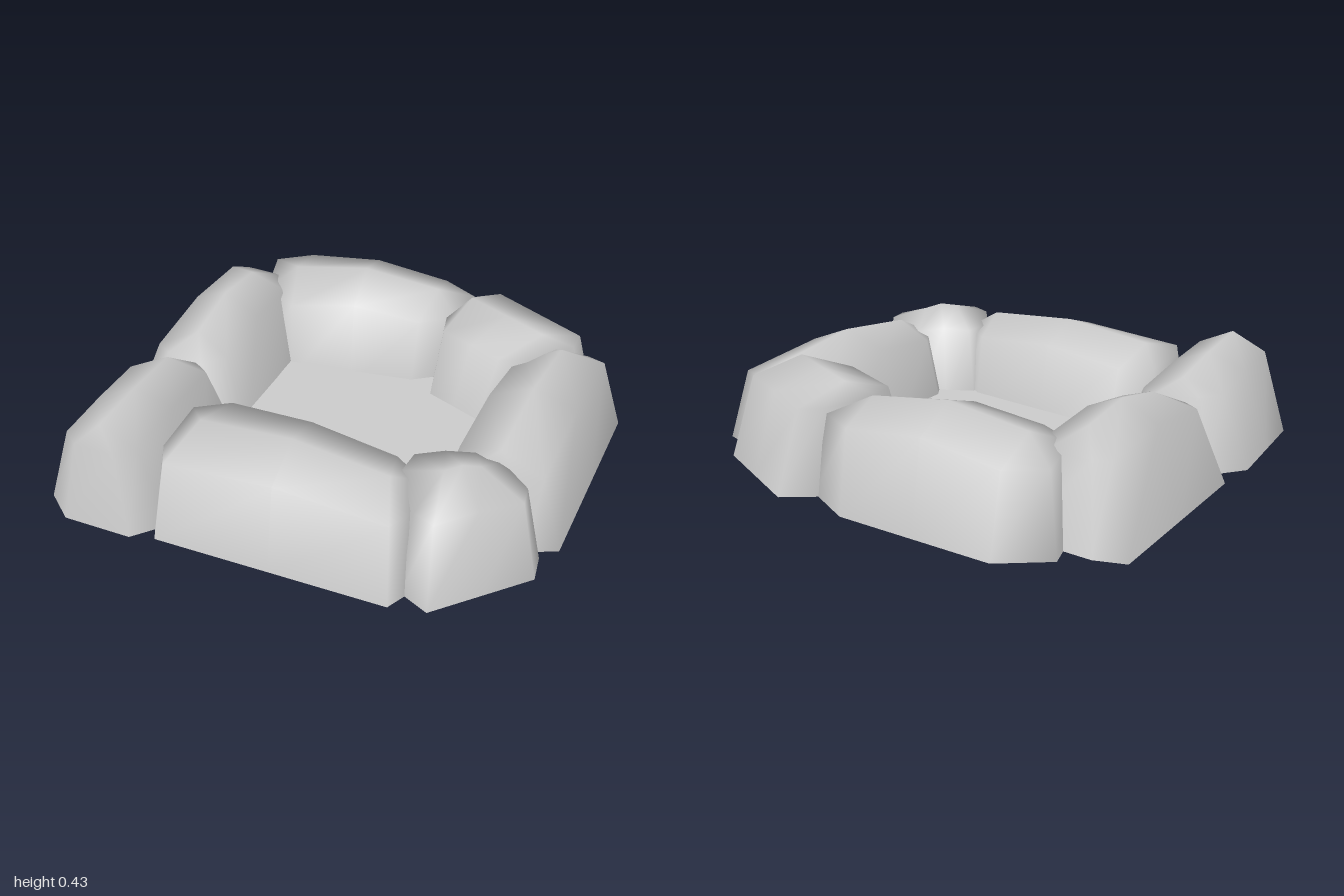
import * as THREE from 'three';
import { mergeVertices } from 'three/addons/utils/BufferGeometryUtils.js';

const END_CUT = 0.22;
const SHOULDER_HEIGHT = 0.83;

// Footprint corners run outer start, outer end, inner end, inner start as [x, z];
// cut is the corner cut on the outer and inner sides, lean is how far the shoulder
// draws in, inset shortens the ridge at each end and heights follow the ridge
const STONES = [
  { name: 'backStone', cut: [0.2, 0.2], lean: 0.25, inset: 0.17, heights: [0.385, 0.425, 0.37],
    corners: [[0.33, -0.88], [-0.78, -0.955], [-0.62, -0.3], [0.28, -0.39]] },
  { name: 'backLeftCornerStone', cut: [0.14, 0.2], lean: 0.33, inset: 0.14, heights: [0.4, 0.4, 0.4],
    corners: [[0.93, -0.59], [0.33, -0.92], [0.13, -0.33], [0.52, -0.15]] },
  { name: 'leftStone', cut: [0.05, 0.2], lean: 0.33, inset: 0.12, heights: [0.355, 0.4, 0.36],
    corners: [[0.96, 0.47], [1.002, -0.52], [0.5, -0.48], [0.43, 0.48]] },
  { name: 'frontLeftCornerStone', cut: [0.13, 0.2], lean: 0.27, inset: 0.36, heights: [0.39, 0.4, 0.38],
    corners: [[0.55, 0.96], [0.97, 0.55], [0.66, 0.26], [0.26, 0.44]] },
  { name: 'frontStone', cut: [0.06, 0.17], lean: 0.27, inset: 0.13, heights: [0.36, 0.4, 0.365],
    corners: [[-0.54, 0.893], [0.53, 0.932], [0.5, 0.42], [-0.56, 0.25]] },
  { name: 'frontRightCornerStone', cut: [0.14, 0.14], lean: 0.42, inset: 0.14, heights: [0.36, 0.39, 0.405],
    corners: [[-1.005, 0.2], [-0.965, 0.9], [-0.46, 0.925], [-0.47, 0.06]] },
  { name: 'rightStone', cut: [0.05, 0.2], lean: 0.42, inset: 0.24, heights: [0.38, 0.41, 0.36],
    corners: [[-0.96, -0.75], [-0.975, 0.17], [-0.45, 0.32], [-0.41, -0.7]] },
];

const mix = (p, q, t) => p.map((v, i) => v + (q[i] - v) * t);

// A rounded stone with an open underside: footprint, shoulder and ridge
function stoneGeometry({ corners: [a, b, c, d], cut: [outer, inner], lean, inset, heights }) {
  // Footprint with cut corners; the last number says which ridge point each one climbs to
  const outline = [
    [mix(a, b, outer), 0], [mix(a, b, 0.5), 1], [mix(a, b, 1 - outer), 2],
    [mix(b, c, END_CUT), 2], [mix(b, c, 1 - END_CUT), 2],
    [mix(c, d, inner), 2], [mix(c, d, 0.5), 1], [mix(c, d, 1 - inner), 0],
    [mix(d, a, END_CUT), 0], [mix(d, a, 1 - END_CUT), 0],
  ];

  // Ridge along the middle of the footprint, short of both ends
  const start = mix(a, d, 0.5), end = mix(b, c, 0.5);
  const ridge = heights.map((y, i) => {
    const [x, z] = mix(start, end, inset + (1 - 2 * inset) * i / 2);
    return [x, y, z];
  });

  const rings = [[0, 0], [lean, SHOULDER_HEIGHT], [1, 1]];
  const n = outline.length, last = rings.length - 1;
  const positions = [], index = [];
  rings.forEach(([k, h], r) => outline.forEach(([[x, z], step], i) => {
    const [tx, ty, tz] = ridge[step];
    positions.push(x + (tx - x) * k, ty * h, z + (tz - z) * k);
    if (r === last) return;
    const j = (i + 1) % n, p = r * n + i, q = r * n + j;
    index.push(p, q, q + n);
    // Points sharing a ridge point close with a single triangle
    if (r < last - 1 || step !== outline[j][1]) index.push(p, q + n, p + n);
  }));

  const geometry = new THREE.BufferGeometry();
  geometry.setAttribute('position', new THREE.Float32BufferAttribute(positions, 3));
  geometry.setIndex(index);
  const merged = mergeVertices(geometry, 1e-4);
  merged.computeVertexNormals();
  return merged;
}

export function createModel() {
  const model = new THREE.Group();
  model.name = 'stoneRing';
  const grey = new THREE.MeshStandardMaterial({ color: 0xcccccc, side: THREE.DoubleSide });
  grey.name = 'lightGreyStone';

  for (const spec of STONES) {
    const mesh = new THREE.Mesh(stoneGeometry(spec), grey);
    mesh.name = spec.name;
    model.add(mesh);
  }

  // Flat ground inside the ring, raised a little and tucked into the stones
  const ground = new THREE.Mesh(new THREE.CircleGeometry(0.72, 8, Math.PI / 8), grey);
  ground.name = 'ground';
  ground.rotation.x = -Math.PI / 2;
  ground.position.y = 0.06;
  model.add(ground);
  return model;
}
